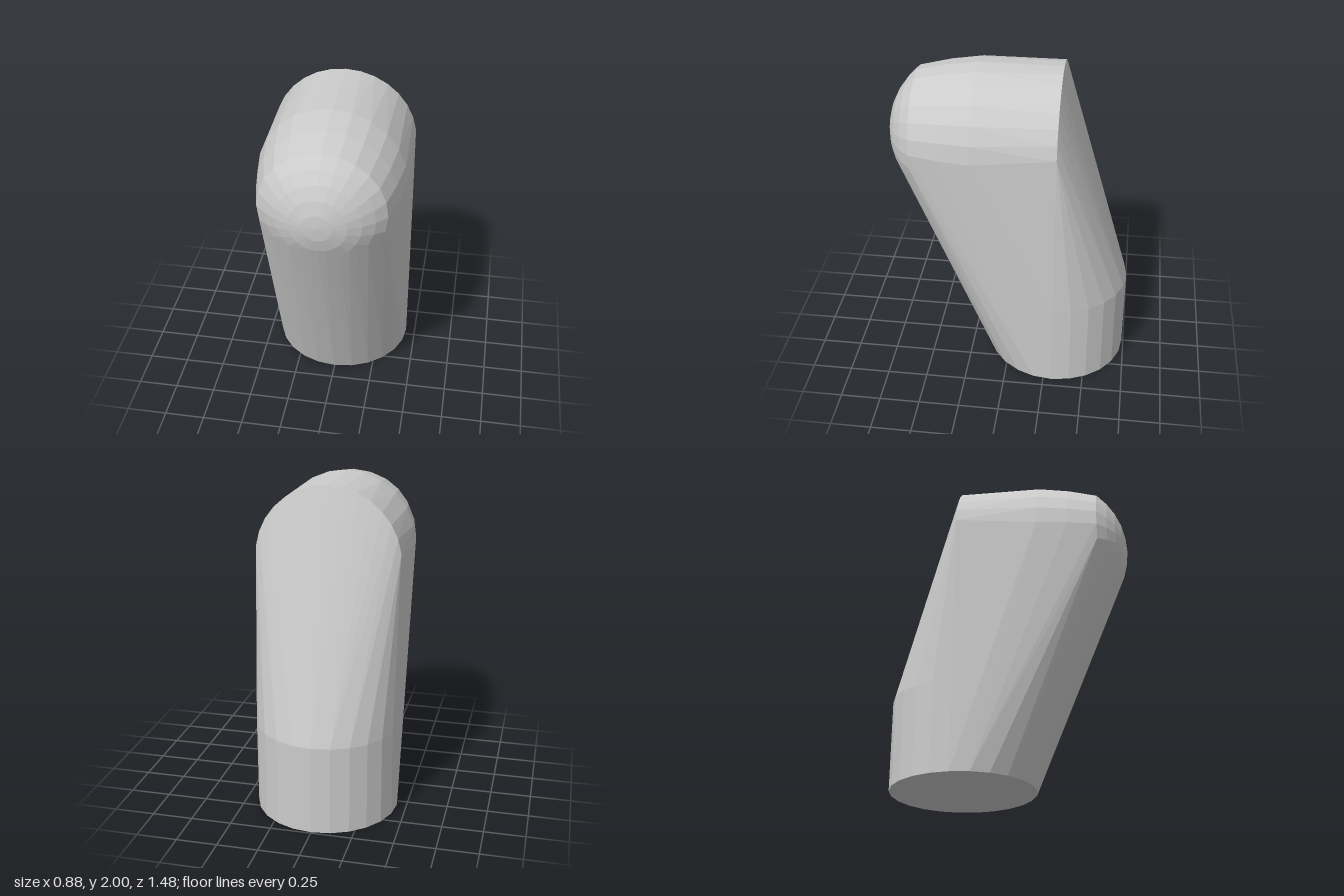
import * as THREE from 'three';
import { ConvexGeometry } from 'three/addons/geometries/ConvexGeometry.js';

const RADIUS = 0.44;
const AXIS_Y = 1.56; // height of the horizontal barrel
const AXIS_Z = -0.3; // position of the upright post
const SIDES = 24;

// Horizontal ring of the upright post
function postRing(y) {
  return Array.from({ length: SIDES }, (_, i) => {
    const a = (i / SIDES) * Math.PI * 2;
    return new THREE.Vector3(RADIUS * Math.cos(a), y, AXIS_Z + RADIUS * Math.sin(a));
  });
}

// Ring (or arc) of the barrel, facing the front
function barrelRing(z, r, from = 0, to = Math.PI * 2, steps = SIDES) {
  return Array.from({ length: steps + 1 }, (_, i) => {
    const a = from + ((to - from) * i) / steps;
    return new THREE.Vector3(r * Math.cos(a), AXIS_Y + r * Math.sin(a), z);
  }).slice(0, to - from > 6 ? steps : steps + 1);
}

export function createModel() {
  const group = new THREE.Group();
  group.name = 'bentPost';

  const points = [
    // upright post
    ...postRing(0),
    ...postRing(0.55),
    // rear rim, upper arc only
    ...barrelRing(AXIS_Z, RADIUS, 0.137, Math.PI - 0.137, 14),
    // barrel and its taper
    ...barrelRing(0.2, RADIUS),
    ...barrelRing(0.39, 0.412),
  ];

  // domed nose: a shallow spherical cap
  const domeR = 0.479, noseZ = 0.74;
  const capAngle = Math.asin(0.37 / domeR);
  for (let k = 1; k <= 5; k++) {
    const t = (capAngle * k) / 5;
    points.push(...barrelRing(noseZ - domeR * (1 - Math.cos(t)), domeR * Math.sin(t)));
  }
  points.push(new THREE.Vector3(0, AXIS_Y, noseZ));

  // one solid skin stretched over all the rings
  const body = new THREE.Mesh(
    new ConvexGeometry(points),
    new THREE.MeshStandardMaterial({ color: 0xcccccc, flatShading: true })
  );
  body.name = 'body';
  group.add(body);
  return group;
}
